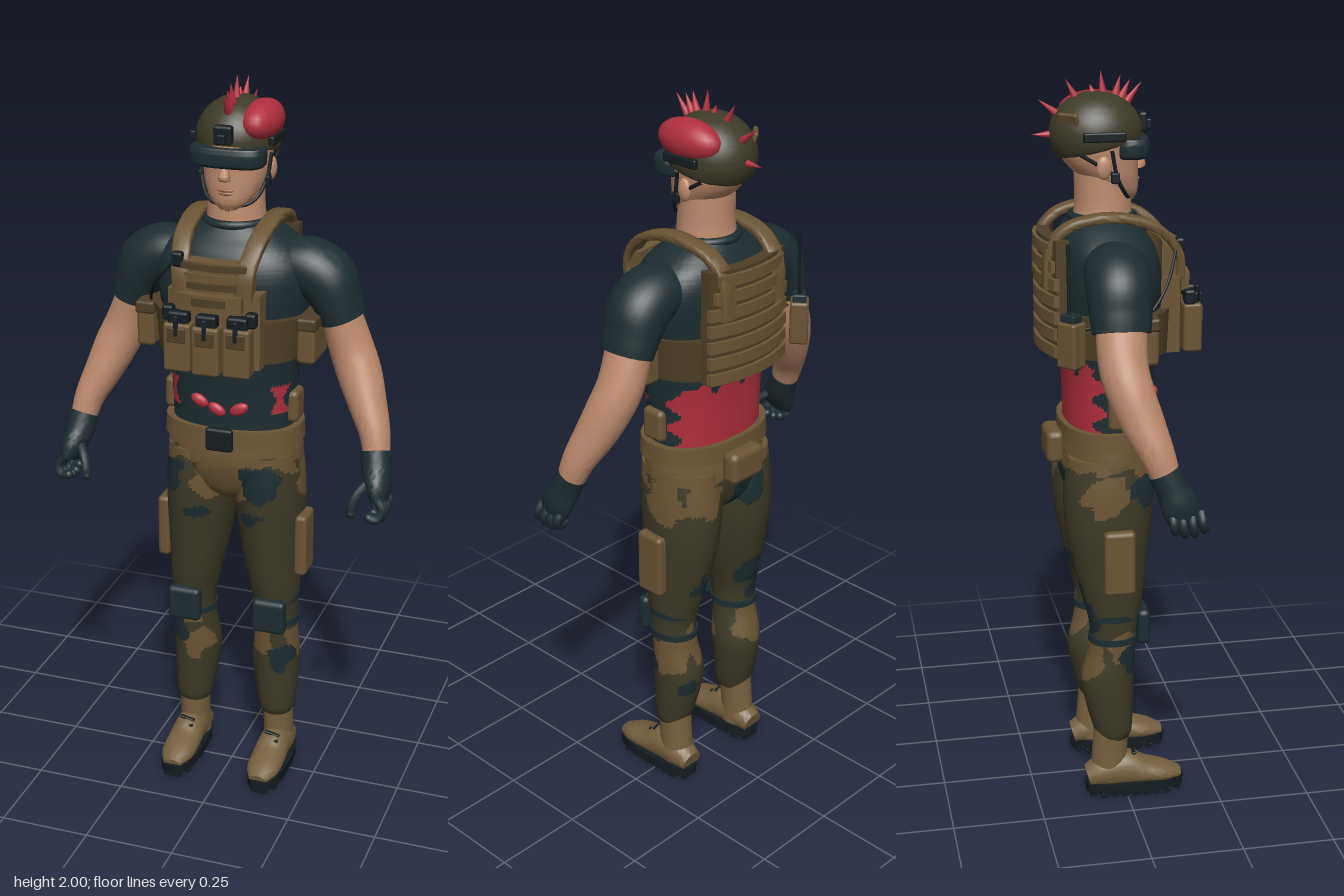
import * as THREE from 'three';
import { toCreasedNormals } from 'three/addons/utils/BufferGeometryUtils.js';
import { RoundedBoxGeometry } from 'three/addons/geometries/RoundedBoxGeometry.js';

const mat = (name, color) => new THREE.MeshStandardMaterial({ name, color });
const shirt = mat('darkTealCloth', 0x1e2d31), tan = mat('tanWebbing', 0x6a5535), brown = mat('brownWebbing', 0x4d3e27);
const olive = mat('oliveCloth', 0x3d3a28), red = mat('red', 0xb02f3e), skin = mat('skin', 0xbd8a6d);
const lip = mat('lips', 0x96654f), black = mat('blackRubber', 0x141c20), boot = mat('bootLeather', 0x75603f);
const V = (x, y, z) => new THREE.Vector3(x, y, z);

export function createModel() {
  const root = new THREE.Group();
  root.name = 'soldier';

  function add(name, geo, m) {
    const mesh = new THREE.Mesh(geo, m);
    mesh.name = name;
    root.add(mesh);
    return mesh;
  }

  // Smooth body through sections [x, y, z, radiusU, radiusW]; paint picks a material per triangle
  function loft(name, secs, mats, { n = 32, m = secs.length * 5, e = 2, flat = true, ref = V(0, 0, 1), paint = () => 0 } = {}) {
    const path = new THREE.CatmullRomCurve3(secs.map(s => V(s[0], s[1], s[2])), false, 'catmullrom');
    const size = new THREE.CatmullRomCurve3(secs.map(s => V(s[3], s[4], 0)), false, 'catmullrom');
    const pow = a => Math.sign(a) * Math.abs(a) ** (2 / e);
    const pts = [], buckets = mats.map(() => []);
    for (let i = 0; i <= m; i++) {
      const p = path.getPoint(i / m), r = size.getPoint(i / m);
      const t = flat ? V(0, 1, 0) : path.getTangent(i / m);
      const w = ref.clone().addScaledVector(t, -ref.dot(t)).normalize();
      const u = t.clone().cross(w);
      for (let j = 0; j < n; j++) {
        const a = j / n * Math.PI * 2;
        pts.push(p.clone().addScaledVector(u, r.x * pow(Math.cos(a))).addScaledVector(w, r.y * pow(Math.sin(a))));
      }
    }
    const c0 = pts.push(path.getPoint(0)) - 1, c1 = pts.push(path.getPoint(1)) - 1;
    const tri = (a, b, c) => {
      const q = pts[a].clone().add(pts[b]).add(pts[c]).divideScalar(3);
      buckets[paint(q.x, q.y, q.z)].push(a, b, c);
    };
    for (let j = 0; j < n; j++) {
      const k = (j + 1) % n;
      tri(c0, j, k);
      tri(c1, m * n + k, m * n + j);
      for (let i = 0; i < m; i++) {
        tri(i * n + j, (i + 1) * n + j, i * n + k);
        tri(i * n + k, (i + 1) * n + j, (i + 1) * n + k);
      }
    }
    const geo = new THREE.BufferGeometry().setFromPoints(pts);
    geo.setIndex(buckets.flat());
    let start = 0;
    buckets.forEach((b, i) => { geo.addGroup(start, b.length, i); start += b.length; });
    return add(name, toCreasedNormals(geo, 0.9), mats.length > 1 ? mats : mats[0]);
  }

  // Box whose face curves round the body: z shifts by bend * x^2
  function panel(name, w, h, d, x, y, z, m, bend = 0) {
    const geo = new THREE.BoxGeometry(w, h, d, 12, 1, 1).translate(x, y, 0), p = geo.attributes.position;
    for (let i = 0; i < p.count; i++) p.setZ(i, p.getZ(i) + z + bend * p.getX(i) ** 2);
    geo.computeVertexNormals();
    return add(name, geo, m);
  }
  function pouch(name, w, h, d, x, y, z, m, r = 0.008) {
    const mesh = add(name, new RoundedBoxGeometry(w, h, d, 2, Math.min(r, w / 2.1, h / 2.1, d / 2.1)), m);
    mesh.position.set(x, y, z);
    return mesh;
  }
  function blob(name, x, y, z, rx, ry, rz, m) {
    const mesh = add(name, new THREE.SphereGeometry(1, 24, 16), m);
    mesh.position.set(x, y, z);
    mesh.scale.set(rx, ry, rz);
    return mesh;
  }
  const tube = (name, pts, r, m) =>
    add(name, new THREE.TubeGeometry(new THREE.CatmullRomCurve3(pts.map(p => V(...p))), 16, r, 8), m);

  // Shirt with the torn red back and side slits
  const tear = (x, y, z) => {
    const jag = 0.014 * Math.sin(x * 70) + 0.01 * Math.sin(x * 131 + 1);
    if (z < -0.075 + 0.02 * Math.sin(y * 90) && y > 1.08 && y < 1.25 + jag) return 1;
    const dy = Math.abs(y - 1.165);
    return z > 0 && dy < 0.04 && Math.abs(Math.abs(x) - 0.148) < 0.005 + 0.4 * dy ? 1 : 0;
  };
  loft('shirtTorso', [[0, 1.02, -0.03, 0.172, 0.115], [0, 1.1, -0.03, 0.17, 0.115], [0, 1.2, -0.028, 0.174, 0.12],
    [0, 1.3, -0.027, 0.184, 0.13], [0, 1.4, -0.027, 0.2, 0.137], [0, 1.5, -0.03, 0.212, 0.138],
    [0, 1.56, -0.036, 0.19, 0.125], [0, 1.6, -0.042, 0.14, 0.1], [0, 1.63, -0.042, 0.085, 0.08]],
  [shirt, red], { n: 96, m: 96, e: 2.3, paint: tear });
  const collar = add('shirtCollar', new THREE.TorusGeometry(0.08, 0.012, 10, 36).rotateX(Math.PI / 2), shirt);
  collar.position.set(0, 1.627, -0.04);
  [[-0.06, 1.155, -0.5, 0.026], [-0.012, 1.135, -0.5, 0.026], [0.05, 1.142, 0.5, 0.028]].forEach(([x, y, a, r]) => {
    blob('frontWound', x, y, 0.088, r, 0.016, 0.012, red).rotation.z = a;
  });

  // Camouflage trousers: blobs [x, y, z, radius, material]
  const spots = [
    [-0.155, 0.92, 0.05, 0.05, 2], [0.1, 0.92, 0.08, 0.055, 2], [-0.08, 0.81, 0.065, 0.025, 2], [0.08, 0.81, 0.065, 0.025, 2],
    [-0.16, 0.42, 0.02, 0.045, 2], [0.16, 0.37, 0.01, 0.04, 2], [-0.04, 0.9, -0.16, 0.055, 2], [0.09, 0.64, -0.12, 0.04, 2],
    [-0.1, 0.6, -0.12, 0.05, 2], [-0.14, 0.53, -0.1, 0.04, 2], [0.14, 0.32, -0.1, 0.03, 2],
    [0, 0.92, 0.09, 0.085, 1], [0.19, 0.92, -0.06, 0.06, 1], [-0.19, 0.9, -0.06, 0.06, 1], [0.16, 0.42, -0.06, 0.065, 1],
    [-0.15, 0.46, 0, 0.055, 1], [0.09, 0.43, 0.01, 0.05, 1], [-0.09, 0.38, 0.02, 0.045, 1], [-0.13, 0.42, -0.11, 0.06, 1],
    [0.1, 0.45, -0.11, 0.055, 1], [0.12, 0.93, -0.15, 0.05, 1]];
  const camo = (x, y, z) => {
    const wob = 0.009 * Math.sin(x * 75 + y * 40) + 0.008 * Math.sin(y * 95 - z * 60);
    for (const [a, b, c, r, k] of spots) if (Math.hypot(x - a, y - b, z - c) + wob < r) return k;
    return y + 2 * wob > 0.975 ? 1 : 0;
  };
  const cloth = [olive, tan, shirt];
  loft('trouserHips', [[0, 0.85, -0.04, 0.03, 0.06], [0, 0.88, -0.04, 0.12, 0.1], [0, 0.93, -0.037, 0.176, 0.122],
    [0, 0.98, -0.033, 0.188, 0.13], [0, 1.05, -0.03, 0.183, 0.122]], cloth, { n: 96, m: 40, paint: camo });

  // Belt with buckle and pouches
  loft('belt', [[0, 1.03, -0.03, 0.193, 0.133], [0, 1.08, -0.03, 0.19, 0.13]], [tan], { n: 48, m: 2, e: 2.3 });
  pouch('beltBuckle', 0.075, 0.065, 0.02, 0, 1.055, 0.104, black);
  pouch('rearBeltPouch', 0.12, 0.09, 0.05, 0, 1.01, -0.175, tan, 0.018);

  for (const s of [1, -1]) {
    // Legs
    loft('trouserLeg', [[0.125, 0.175, -0.035, 0.044, 0.045], [0.125, 0.2, -0.035, 0.052, 0.053], [0.121, 0.28, -0.044, 0.062, 0.066],
      [0.118, 0.36, -0.048, 0.067, 0.073], [0.122, 0.45, -0.036, 0.06, 0.064], [0.122, 0.52, -0.032, 0.061, 0.067],
      [0.116, 0.6, -0.034, 0.072, 0.084], [0.107, 0.7, -0.04, 0.085, 0.102], [0.102, 0.8, -0.043, 0.094, 0.117],
      [0.098, 0.9, -0.04, 0.096, 0.123], [0.1, 1, -0.036, 0.085, 0.115]].map(a => [s * a[0], ...a.slice(1)]),
    cloth, { n: 56, m: 110, paint: camo });
    pouch('cargoPocket', 0.035, 0.18, 0.085, s * 0.2, 0.725, -0.03, tan, 0.012);
    pouch('kneePad', 0.095, 0.1, 0.035, s * 0.125, 0.515, 0.045, shirt, 0.014);
    for (const y of [0.48, 0.55])
      loft('kneeStrap', [[s * 0.122, y - 0.009, -0.033, 0.064, 0.07], [s * 0.122, y + 0.009, -0.033, 0.064, 0.07]], [shirt], { m: 1 });

    // Boots
    loft('bootShaft', [[s * 0.128, 0.05, -0.048, 0.044, 0.052], [s * 0.128, 0.12, -0.045, 0.042, 0.05], [s * 0.127, 0.21, -0.04, 0.044, 0.048]], [boot]);
    loft('bootFoot', [[-0.108, 0.055, 0.034, 0.03], [-0.06, 0.068, 0.044, 0.048], [0, 0.072, 0.045, 0.053], [0.05, 0.062, 0.048, 0.038],
      [0.11, 0.052, 0.046, 0.027], [0.155, 0.044, 0.026, 0.014]].map(([z, y, a, b]) => [s * 0.13, y, z, a, b]),
    [boot], { flat: false, ref: V(0, 1, 0) });
    loft('bootSole', [[s * 0.131, 0.012, 0.025, 0.051, 0.137], [s * 0.131, 0.042, 0.025, 0.053, 0.14]], [black], { m: 2, e: 2.5 });
    for (let i = 0; i < 9; i++)
      pouch('soleTread', i % 8 ? 0.085 : 0.05, 0.016, 0.017, s * 0.131, 0.008, -0.095 + i * 0.03, black, 0.002);
    for (let i = 0; i < 3; i++)
      pouch('bootLace', 0.045, 0.008, 0.012, s * 0.13, 0.118 - i * 0.016, 0.022 + i * 0.016, black, 0.003).rotation.z = i % 2 ? 0.2 : -0.2;

    // Arms and gloves
    const limb = (name, secs, m) => loft(name, secs.map(a => [s * a[0], ...a.slice(1)]), [m], { flat: false });
    limb('sleeve', [[0.13, 1.525, -0.035, 0.062, 0.075], [0.2, 1.518, -0.038, 0.075, 0.084], [0.25, 1.485, -0.04, 0.079, 0.085],
      [0.277, 1.43, -0.042, 0.066, 0.08], [0.293, 1.385, -0.043, 0.059, 0.075]], shirt);
    limb('bareArm', [[0.278, 1.42, -0.042, 0.05, 0.066], [0.315, 1.31, -0.043, 0.058, 0.063], [0.345, 1.24, -0.028, 0.059, 0.06],
      [0.375, 1.17, -0.003, 0.051, 0.055], [0.405, 1.1, 0.026, 0.041, 0.045], [0.42, 1.03, 0.05, 0.034, 0.036]], skin);
    limb('glove', [[0.414, 1.055, 0.042, 0.04, 0.041], [0.422, 1.01, 0.062, 0.039, 0.042], [0.434, 0.97, 0.08, 0.033, 0.05],
      [0.442, 0.935, 0.092, 0.02, 0.046]], shirt);
    for (let i = 0; i < 4; i++) {
      const z = 0.055 + i * 0.025, y = i % 3 ? 0 : 0.008;
      tube('gloveFinger', [[s * 0.443, 0.955, z], [s * 0.458, 0.92 + y, z + 0.004], [s * 0.447, 0.898 + y, z + 0.01], [s * 0.425, 0.9 + y, z + 0.013]], 0.0125, shirt);
      blob('fingerTip', s * 0.425, 0.9 + y, z + 0.013, 0.0125, 0.0125, 0.0125, shirt);
    }
    tube('gloveThumb', [[s * 0.415, 0.99, 0.085], [s * 0.388, 0.96, 0.118], [s * 0.376, 0.93, 0.132], [s * 0.375, 0.91, 0.135]], 0.013, shirt);
    blob('thumbTip', s * 0.375, 0.91, 0.135, 0.013, 0.013, 0.013, shirt);

    // Vest straps and side pouches
    loft('shoulderStrap', [[0.083, 1.47, 0.15], [0.088, 1.54, 0.145], [0.1, 1.605, 0.09], [0.105, 1.637, 0], [0.105, 1.637, -0.08],
      [0.1, 1.615, -0.15], [0.093, 1.56, -0.193], [0.09, 1.46, -0.2]].map(([x, y, z]) => [s * x, y, z, 0.012, 0.024]),
    [tan], { n: 16, e: 5, flat: false, ref: V(1, 0, 0) });
    pouch('sidePouch', 0.05, 0.12, 0.13, s * 0.222, 1.34, 0, tan, 0.012);
    pouch('sidePouchFlap', 0.054, 0.035, 0.136, s * 0.223, 1.388, 0, brown);
    pouch('hipPouch', 0.035, 0.09, 0.07, s * 0.172, 1.135, -0.02, tan, 0.015);
    pouch('vestClip', 0.03, 0.04, 0.03, s * 0.112, 1.425, 0.172, black);

    // Ears, chin strap and helmet rails
    blob('ear', s * 0.092, 1.765, -0.05, 0.012, 0.03, 0.02, skin);
    tube('chinStrap', [[s * 0.097, 1.81, -0.03], [s * 0.088, 1.74, -0.015], [s * 0.062, 1.69, 0.012], [0, 1.667, 0.035]], 0.005, black);
    tube('rearStrap', [[s * 0.092, 1.8, -0.11], [s * 0.09, 1.745, -0.02]], 0.005, black);
    pouch('strapBuckle', 0.012, 0.028, 0.022, s * 0.092, 1.738, -0.02, black, 0.004);
    pouch('helmetRail', 0.016, 0.025, 0.11, s * 0.106, 1.845, -0.05, black, 0.005);
  }

  // Vest body, front panel and magazine pouches
  loft('vestWaistband', [[0, 1.285, -0.02, 0.197, 0.152], [0, 1.4, -0.02, 0.208, 0.154]], [brown], { n: 48, m: 2, e: 2.5 });
  panel('frontPlate', 0.25, 0.2, 0.05, 0, 1.38, 0.142, tan, -1.5);
  panel('frontPlateTop', 0.2, 0.09, 0.045, 0, 1.515, 0.138, tan, -1.5);
  for (let i = 0; i < 3; i++) panel('frontWebbing', 0.185, 0.016, 0.012, 0, 1.548 - i * 0.025, 0.163, i % 2 ? tan : brown, -1.5);
  panel('chestPocket', 0.17, 0.045, 0.03, 0, 1.458, 0.172, tan, -1.5);
  panel('chestPatch', 0.09, 0.02, 0.006, 0, 1.462, 0.189, brown, -1.5);
  for (const x of [-0.08, 0, 0.08]) {
    const z = 0.192 - x * x * 1.5;
    pouch('magazinePouch', 0.073, 0.13, 0.05, x, 1.34, z, tan);
    pouch('magazine', 0.056, 0.04, 0.034, x, 1.415, z, black);
    pouch('pouchFlap', 0.05, 0.04, 0.008, x, 1.375, z + 0.025, brown, 0.003);
    pouch('pouchPull', 0.012, 0.055, 0.008, x, 1.4, z + 0.026, black, 0.003);
  }

  // Back panel with webbing rows
  panel('backPlate', 0.27, 0.31, 0.035, 0, 1.435, -0.192, brown, 1.5);
  for (let i = 0; i < 7; i++) panel('backWebbing', 0.285 - (i > 4 ? (i - 4) * 0.025 : 0), 0.03, 0.014, 0, 1.302 + i * 0.044, -0.213, tan, 1.5);

  // Radio on the right rear, with cable to the shoulder switch
  pouch('radioPouch', 0.06, 0.12, 0.05, -0.23, 1.345, -0.16, tan).rotation.y = 0.7;
  pouch('radio', 0.046, 0.05, 0.036, -0.23, 1.4, -0.16, shirt, 0.004).rotation.y = 0.7;
  tube('antenna', [[-0.225, 1.41, -0.165], [-0.22, 1.5, -0.165], [-0.215, 1.6, -0.165]], 0.004, black);
  tube('radioCable', [[-0.22, 1.38, -0.13], [-0.215, 1.4, 0.03], [-0.18, 1.47, 0.095], [-0.1, 1.56, 0.14]], 0.004, black);
  pouch('shoulderSwitch', 0.03, 0.04, 0.025, -0.095, 1.56, 0.148, black);

  // Neck, head and face
  loft('neck', [[0, 1.58, -0.043, 0.088, 0.085], [0, 1.65, -0.037, 0.077, 0.075], [0, 1.74, -0.04, 0.074, 0.072]], [skin]);
  loft('head', [[0, 1.668, 0.018, 0.028, 0.026], [0, 1.69, 0.002, 0.055, 0.052], [0, 1.73, -0.022, 0.077, 0.077],
    [0, 1.78, -0.045, 0.088, 0.1], [0, 1.84, -0.05, 0.092, 0.107], [0, 1.89, -0.05, 0.08, 0.09], [0, 1.92, -0.05, 0.04, 0.05]], [skin], { m: 40 });
  loft('nose', [[0, 1.748, 0.057, 0.016, 0.013], [0, 1.757, 0.059, 0.015, 0.018], [0, 1.79, 0.053, 0.009, 0.012]], [skin], { n: 16 });
  blob('upperLip', 0, 1.722, 0.052, 0.023, 0.005, 0.007, lip);
  blob('lowerLip', 0, 1.713, 0.05, 0.02, 0.006, 0.007, lip);
  loft('goggles', [[0, 1.782, 0.028, 0.088, 0.042], [0, 1.79, 0.028, 0.098, 0.05], [0, 1.822, 0.028, 0.1, 0.051], [0, 1.833, 0.028, 0.096, 0.047]], [shirt], { n: 40, e: 2.8 });

  // Helmet: ellipsoid cut off along a sloping rim
  const dome = new THREE.SphereGeometry(1, 48, 40).scale(0.11, 0.107, 0.122).translate(0, 1.84, -0.055), dp = dome.attributes.position;
  for (let i = 0; i < dp.count; i++) dp.setY(i, Math.max(dp.getY(i), 1.835 + (dp.getZ(i) - 0.05) * 0.25));
  dome.deleteAttribute('normal');
  add('helmet', toCreasedNormals(dome, 0.9), olive);
  pouch('helmetMount', 0.05, 0.05, 0.024, 0, 1.868, 0.066, black);
  pouch('helmetMountArm', 0.022, 0.026, 0.02, 0, 1.86, 0.08, black, 0.004);
  const patch = pouch('helmetPatch', 0.06, 0.035, 0.012, -0.068, 1.885, -0.135, tan, 0.005);
  patch.rotation.set(0.35, Math.PI + 0.75, 0, 'YXZ');
  blob('redHelmetGrowth', 0.068, 1.888, -0.045, 0.051, 0.053, 0.098, red);

  // Crest of spikes from base to tip along the midline, [baseY, baseZ, tipY, tipZ]
  [[1.91, 0.02, 1.97, 0.067], [1.93, -0.005, 1.987, 0.01], [1.93, -0.035, 2, -0.042], [1.925, 0.01, 1.975, 0.035], [1.935, -0.06, 1.965, -0.07],
    [1.92, -0.1, 1.98, -0.133], [1.885, -0.145, 1.93, -0.205], [1.84, -0.16, 1.84, -0.222]].forEach(([y0, z0, y1, z1]) => {
    const dir = V(0, y1 - y0, z1 - z0), len = dir.length();
    const spike = add('crestSpike', new THREE.ConeGeometry(0.013, len, 12), red);
    spike.position.set(0, (y0 + y1) / 2, (z0 + z1) / 2);
    spike.quaternion.setFromUnitVectors(V(0, 1, 0), dir.normalize());
  });
  return root;
}
